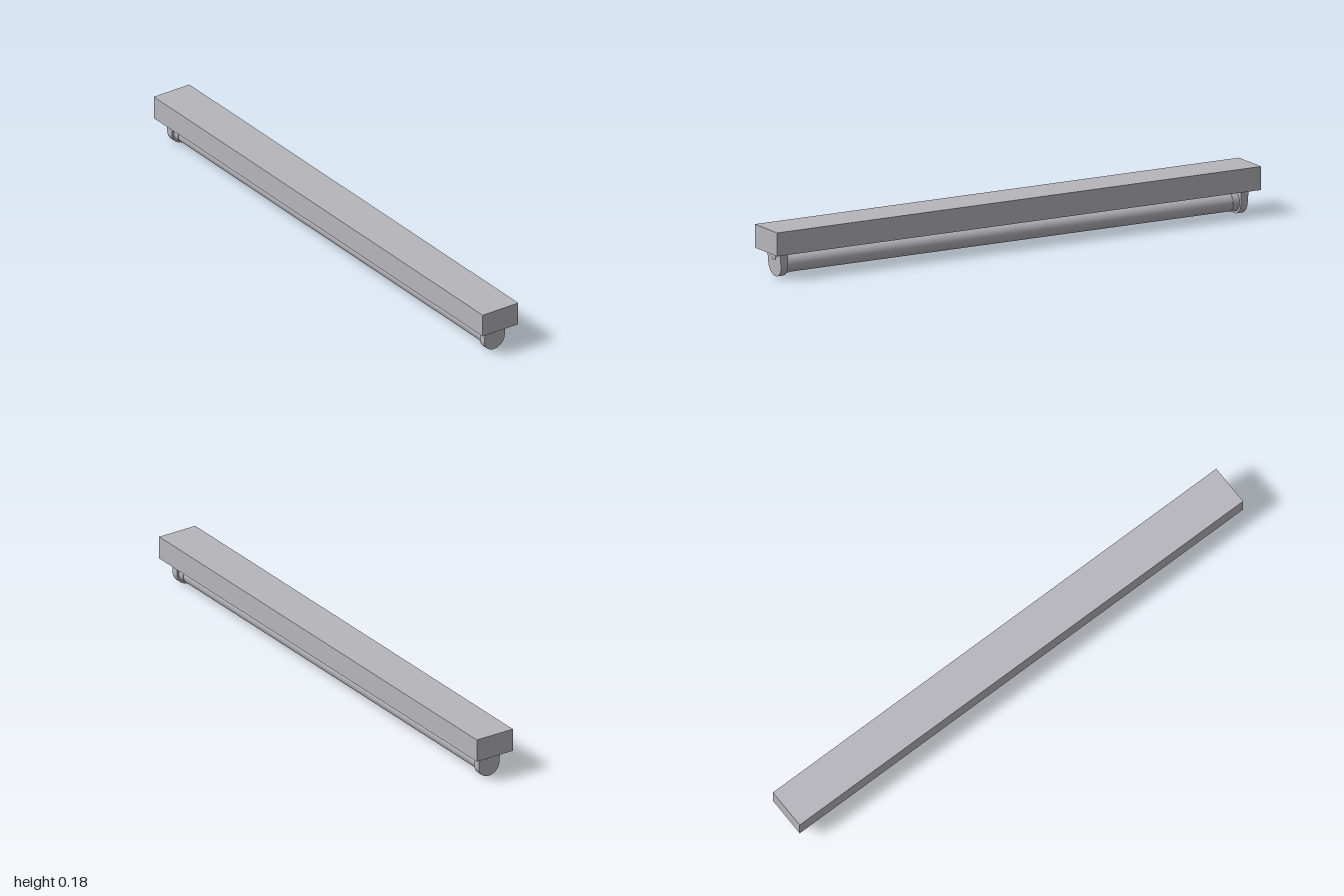
import * as THREE from 'three';

export function createModel() {
  const group = new THREE.Group();
  const grey = new THREE.MeshStandardMaterial({ color: 0xb5b5bb });
  grey.name = 'light grey';

  const add = (name, geometry, x, y, z) => {
    const mesh = new THREE.Mesh(geometry, grey);
    mesh.name = name;
    mesh.position.set(x, y, z);
    group.add(mesh);
    return mesh;
  };
  const rod = (radius, length, sides = 40) =>
    new THREE.CylinderGeometry(radius, radius, length, sides).rotateZ(Math.PI / 2);

  // Long ceiling housing
  add('housing', new THREE.BoxGeometry(2, 0.086, 0.156), 0, 0.136, 0);

  // Fluorescent tube
  const tubeY = 0.045;
  add('tube', rod(0.035, 1.88), 0, tubeY, 0);

  // Socket outline: flat top, round bottom
  const r = 0.0445;
  const outline = new THREE.Shape();
  outline.moveTo(r, 0.0945);
  outline.lineTo(-r, 0.0945);
  outline.lineTo(-r, r);
  outline.absarc(0, r, r, Math.PI, Math.PI * 2, false);
  outline.closePath();

  for (const side of [-1, 1]) {
    const label = side > 0 ? 'left' : 'right';

    // Lamp holder, its outer face leaning in slightly towards the bottom
    const socket = new THREE.ExtrudeGeometry(outline, { depth: 0.029, bevelEnabled: false, curveSegments: 28 });
    socket.rotateY(Math.PI / 2);
    socket.translate(side > 0 ? 0.936 : -0.965, 0, 0);
    const p = socket.attributes.position;
    for (let i = 0; i < p.count; i++) {
      if (Math.abs(p.getX(i)) > 0.95) p.setX(i, p.getX(i) + side * (p.getY(i) - 0.05) * 0.08);
    }
    add(label + 'Socket', socket, 0, 0, 0);

    // Collar around the tube end
    add(label + 'TubeCap', rod(0.0365, 0.03), side * 0.925, tubeY, 0);

    // Small round pin on the outer face of the holder
    add(label + 'Pin', rod(0.014, 0.006, 20), side * 0.966, 0.075, 0);
  }
  return group;
}
